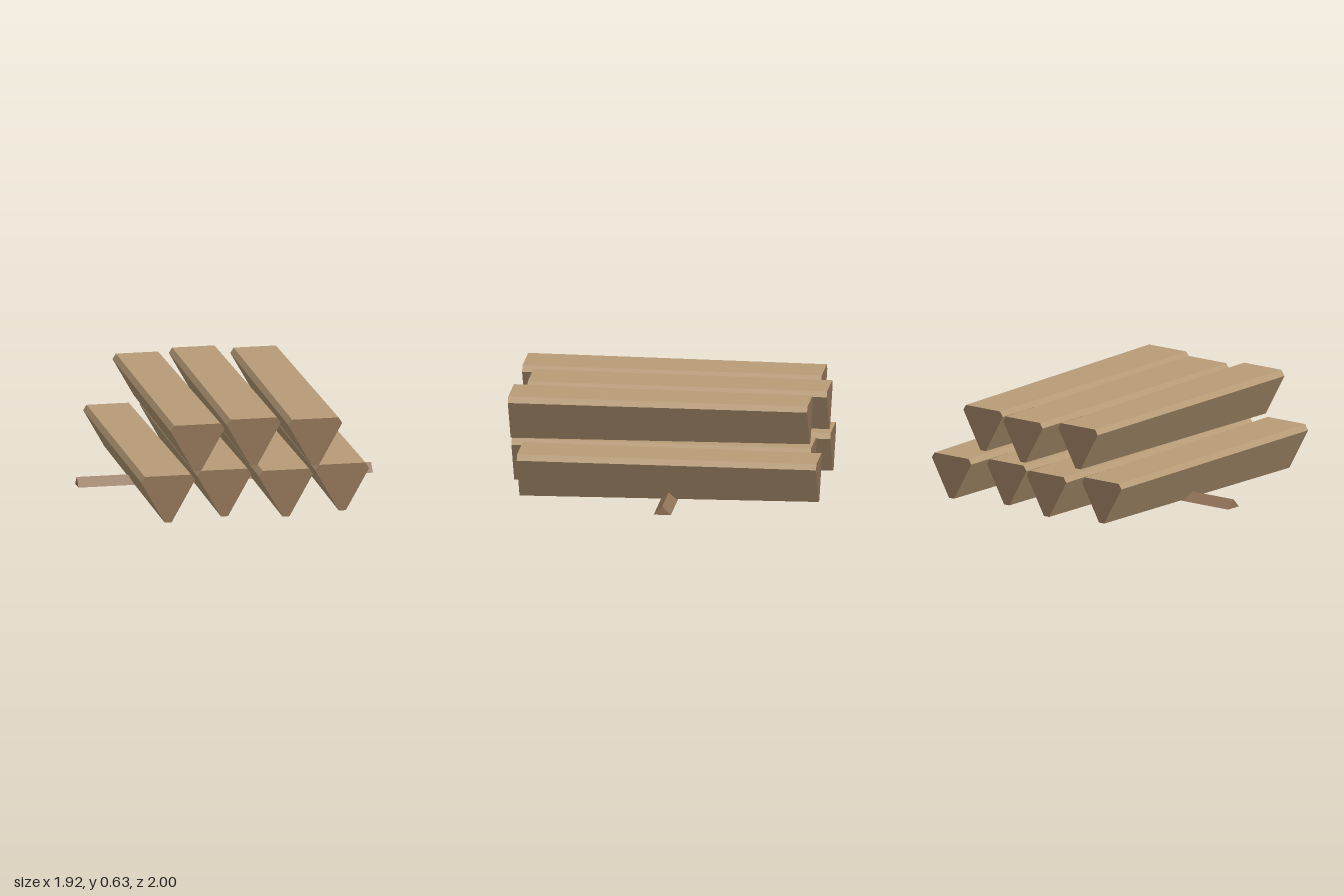
import * as THREE from 'three';

const LENGTH = 1.92;   // length of every log
const TAPER = 0.91;    // size of the back end relative to the front
const PIVOT = 0.2;     // height in the section that the taper shrinks towards

function makeShape(points) {
  return new THREE.Shape(points.map(([x, y]) => new THREE.Vector2(x, y)));
}

// Wedge-shaped log with clipped corners, narrowing slightly towards the back
function logGeometry() {
  const section = makeShape([
    [-0.023, 0], [0.023, 0], [0.175, 0.27],
    [0.151, 0.307], [-0.151, 0.307], [-0.175, 0.27],
  ]);
  const geo = new THREE.ExtrudeGeometry(section, { depth: LENGTH, bevelEnabled: false });
  const pos = geo.attributes.position;
  for (let i = 0; i < pos.count; i++) {
    const s = THREE.MathUtils.lerp(TAPER, 1, pos.getZ(i) / LENGTH);
    pos.setX(i, pos.getX(i) * s);
    pos.setY(i, PIVOT + (pos.getY(i) - PIVOT) * s);
  }
  geo.computeVertexNormals();
  return geo;
}

export function createModel() {
  const group = new THREE.Group();
  group.name = 'logPile';

  const bark = new THREE.MeshStandardMaterial({ name: 'tan wood', color: 0xb89c77 });
  const cut = new THREE.MeshStandardMaterial({ name: 'brown wood', color: 0x937559 });

  // Two rows of logs, alternately pushed forward and back
  const geo = logGeometry();
  const rows = [
    { name: 'lowerLog', y: 0, xs: [-0.577, -0.194, 0.19, 0.573] },
    { name: 'upperLog', y: 0.327, xs: [-0.386, -0.003, 0.381] },
  ];
  for (const { name, y, xs } of rows) {
    xs.forEach((x, i) => {
      const log = new THREE.Mesh(geo, [cut, bark]); // end faces, long faces
      log.name = `${name}${i + 1}`;
      log.position.set(x, y, i % 2 ? -1 : 1 - LENGTH);
      group.add(log);
    });
  }

  // Thin triangular bar lying across underneath
  const barSection = makeShape([[-0.055, 0], [0.055, 0], [0, 0.057]]);
  const barGeo = new THREE.ExtrudeGeometry(barSection, { depth: 1.916, bevelEnabled: false });
  barGeo.translate(0, 0, -0.958);
  barGeo.rotateY(Math.PI / 2);
  const bar = new THREE.Mesh(barGeo, cut);
  bar.name = 'crossBar';
  bar.position.set(0, 0, -0.04);
  group.add(bar);

  return group;
}
